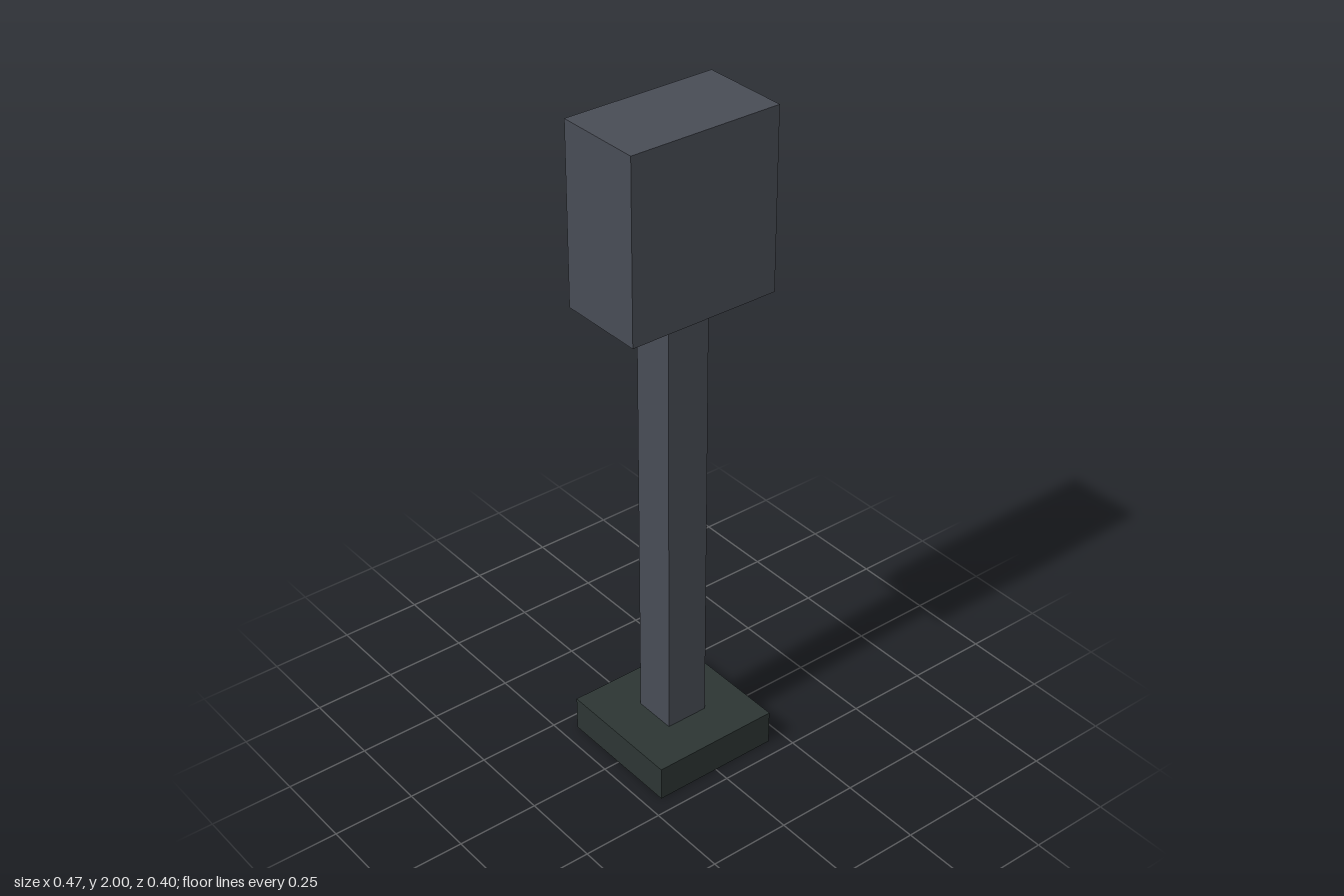
import * as THREE from 'three';

export function createModel() {
  const model = new THREE.Group();
  model.name = 'postBox';

  const slateGrey = new THREE.MeshStandardMaterial({ color: 0x484c55 });
  slateGrey.name = 'slateGrey';
  const darkGreen = new THREE.MeshStandardMaterial({ color: 0x2c3533 });
  darkGreen.name = 'darkGreen';

  // Box given by width, depth, bottom and top heights, and centre z
  function addBox(name, material, width, depth, bottom, top, z = 0) {
    const mesh = new THREE.Mesh(new THREE.BoxGeometry(width, top - bottom, depth), material);
    mesh.name = name;
    mesh.position.set(0, (bottom + top) / 2, z);
    model.add(mesh);
  }

  addBox('base', darkGreen, 0.4, 0.4, 0, 0.107);
  // Post is sunk slightly into the base
  addBox('post', slateGrey, 0.133, 0.133, 0.05, 1.47);
  addBox('head', slateGrey, 0.467, 0.267, 1.467, 2);
  // Plate on the back, hanging below the head
  addBox('backPlate', darkGreen, 0.24, 0.027, 1.4, 1.56, -0.133);

  return model;
}
